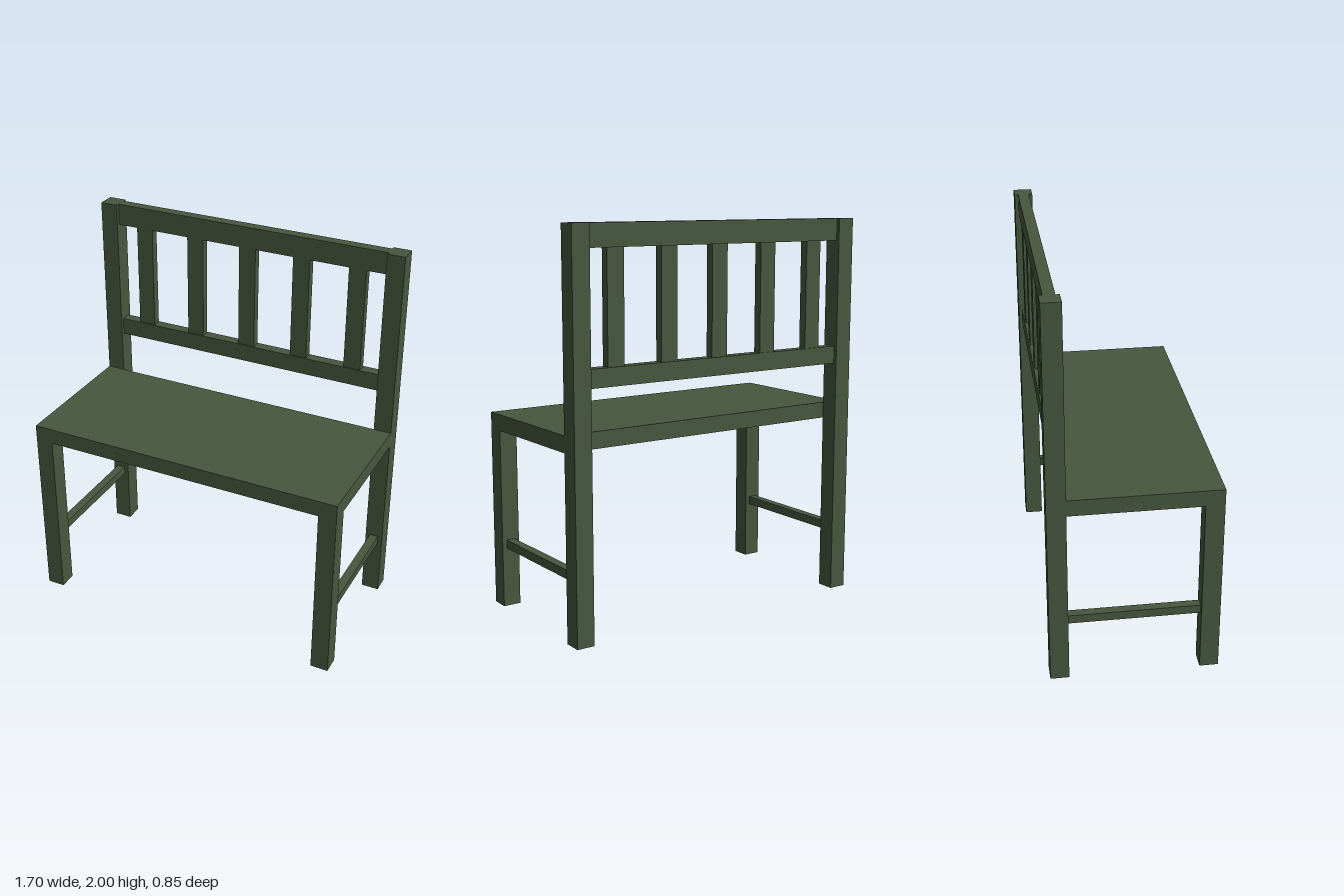
import * as THREE from 'three';

export function createModel() {
  const bench = new THREE.Group();
  bench.name = 'bench';
  const greenPaint = new THREE.MeshStandardMaterial({ color: 0x47573f, side: THREE.DoubleSide });
  greenPaint.name = 'dark green paint';

  // Box given by its low and high limits on each axis
  function board(name, [x0, x1], [y0, y1], [z0, z1], openBottom = false) {
    const geometry = new THREE.BoxGeometry(x1 - x0, y1 - y0, z1 - z0);
    if (openBottom) {
      // Drop the downward face (fourth of the six box sides)
      const index = Array.from(geometry.index.array);
      index.splice(18, 6);
      geometry.setIndex(index);
      geometry.clearGroups();
    }
    const mesh = new THREE.Mesh(geometry, greenPaint);
    mesh.name = name;
    mesh.position.set((x0 + x1) / 2, (y0 + y1) / 2, (z0 + z1) / 2);
    bench.add(mesh);
  }

  const outer = 0.848, inner = 0.754; // leg limits in x
  const front = 0.425, back = -0.425, post = 0.095;
  const seatBottom = 0.936, seatTop = 1.02;

  // Seat, ending at the front of the back posts
  board('seat', [-outer, outer], [seatBottom, seatTop], [back + post, front]);

  // Legs, back posts and side stretchers
  for (const [side, s] of [['left', 1], ['right', -1]]) {
    const span = (a, b) => (s > 0 ? [a, b] : [-b, -a]);
    const legX = span(inner, outer);
    const mid = (inner + outer) / 2;
    board(side + 'FrontLeg', legX, [0, seatBottom], [front - post, front], true);
    board(side + 'BackPost', legX, [0, 2], [back, back + post], true);
    board(side + 'Stretcher', span(mid - 0.023, mid + 0.023), [0.31, 0.355], [back + post, front - post]);
  }

  // Backrest rails
  const railZ = [-0.406, -0.349];
  board('topRail', [-inner, inner], [1.886, 2], railZ);
  board('lowerRail', [-inner, inner], [1.24, 1.332], railZ);

  // Backrest slats
  for (let i = -2; i <= 2; i++) {
    const x = i * 0.301;
    board('slat' + (i + 3), [x - 0.046, x + 0.046], [1.332, 1.886], [-0.4, -0.355]);
  }

  return bench;
}
